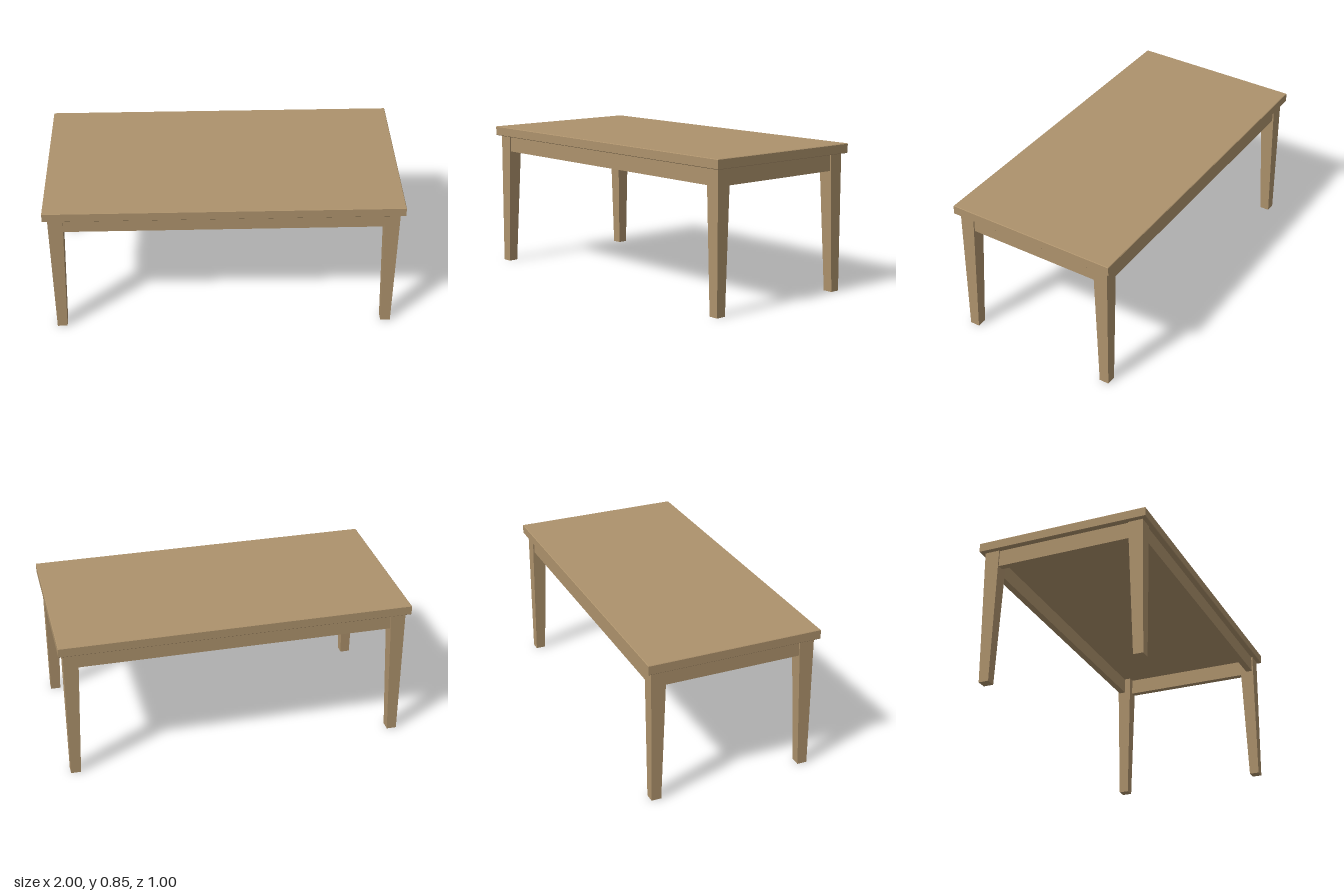
import * as THREE from 'three';

const TOP_Y = 0.845, UNDER_Y = 0.79, APRON_Y = 0.695;

// Slab with a tiny chamfer on its top and bottom edges
function slab(w, h, d, c) {
  const x = w / 2 - c, z = d / 2 - c;
  const shape = new THREE.Shape([
    new THREE.Vector2(-x, -z), new THREE.Vector2(x, -z),
    new THREE.Vector2(x, z), new THREE.Vector2(-x, z),
  ]);
  const geo = new THREE.ExtrudeGeometry(shape, {
    depth: h - 2 * c, bevelEnabled: true, bevelSize: c, bevelThickness: c, bevelSegments: 1,
  });
  return geo.translate(0, 0, c).rotateX(-Math.PI / 2);
}

// Leg with straight outer faces; the two inner faces taper toward the foot
function taperedLeg(sx, sz) {
  const geo = new THREE.BoxGeometry(1, UNDER_Y, 1).translate(0, UNDER_Y / 2, 0);
  const p = geo.attributes.position;
  for (let i = 0; i < p.count; i++) {
    const width = p.getY(i) > 0.1 ? 0.086 : 0.057;
    const inX = p.getX(i) * sx < 0 ? width : 0;
    const inZ = p.getZ(i) * sz < 0 ? width : 0;
    p.setX(i, sx * (0.975 - inX));
    p.setZ(i, sz * (0.475 - inZ));
  }
  geo.computeVertexNormals();
  return geo;
}

export function createModel() {
  const table = new THREE.Group();
  table.name = 'table';
  const wood = new THREE.MeshStandardMaterial({ color: 0xad926c });
  wood.name = 'wood';

  const add = (name, geo, x = 0, y = 0, z = 0) => {
    const mesh = new THREE.Mesh(geo, wood);
    mesh.name = name;
    mesh.position.set(x, y, z);
    table.add(mesh);
  };

  add('tableTop', slab(2, TOP_Y - UNDER_Y, 1, 0.003), 0, UNDER_Y, 0);

  // Four legs
  for (const sx of [-1, 1])
    for (const sz of [-1, 1])
      add(`${sz > 0 ? 'front' : 'back'}${sx > 0 ? 'Left' : 'Right'}Leg`, taperedLeg(sx, sz));

  // Apron rails between the legs, set slightly in from their outer faces
  const h = UNDER_Y - APRON_Y, y = (UNDER_Y + APRON_Y) / 2, t = 0.038;
  for (const s of [-1, 1]) {
    add(s > 0 ? 'frontApron' : 'backApron', new THREE.BoxGeometry(1.79, h, t), 0, y, s * 0.448);
    add(s > 0 ? 'leftApron' : 'rightApron', new THREE.BoxGeometry(t, h, 0.79), s * 0.948, y, 0);
  }
  return table;
}
